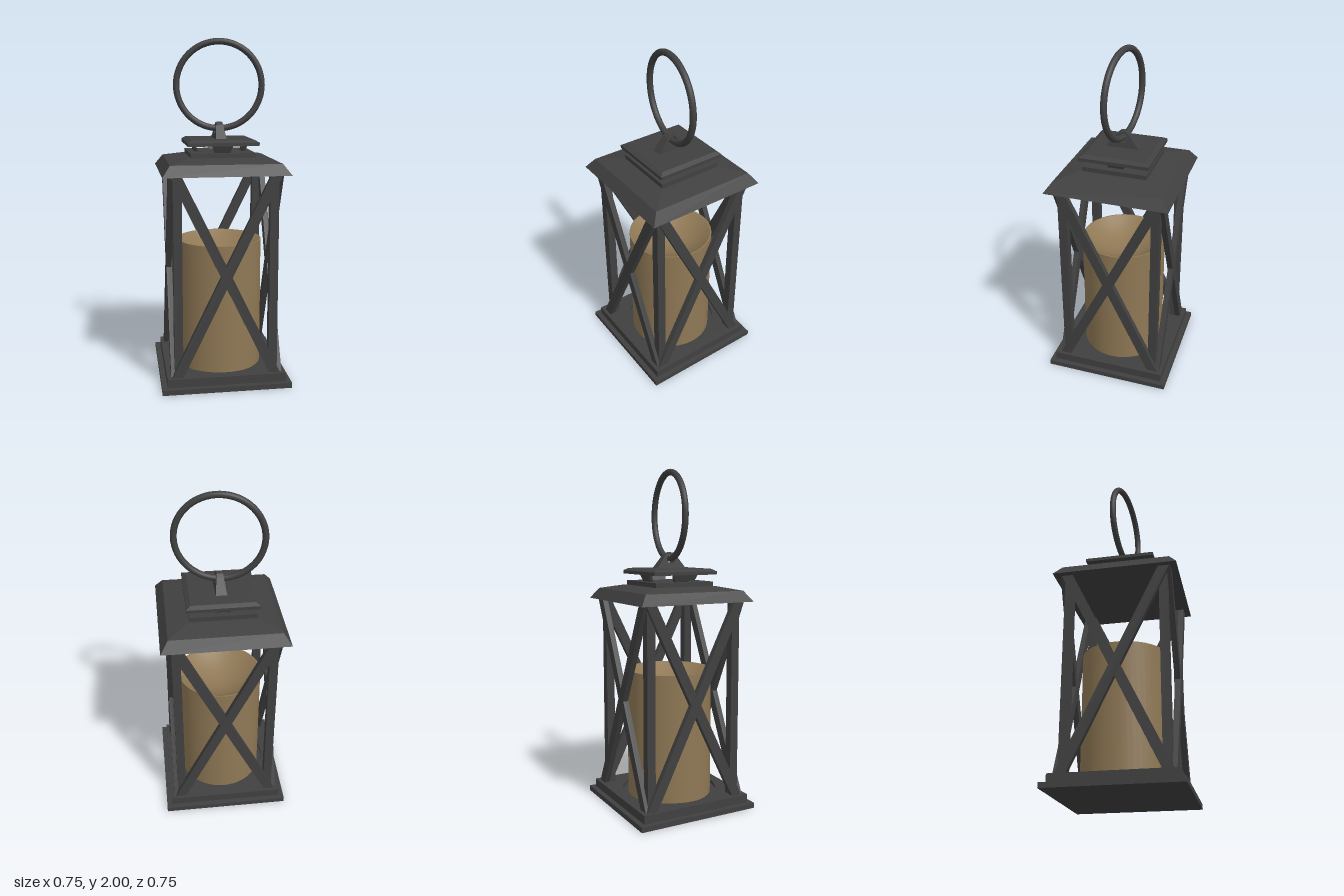
import * as THREE from 'three';

const metal = new THREE.MeshStandardMaterial({ color: 0x404040 });
const wax = new THREE.MeshStandardMaterial({ color: 0x8f7855 });

export function createModel() {
  const lantern = new THREE.Group();
  lantern.name = 'lantern';

  const add = (name, geometry, material = metal, parent = lantern) => {
    const mesh = new THREE.Mesh(geometry, material);
    mesh.name = name;
    parent.add(mesh);
    return mesh;
  };

  // Square slab: half width h0 at y0, h1 at y1
  const slab = (name, h0, y0, h1, y1) => {
    const g = new THREE.CylinderGeometry(h1 * Math.SQRT2, h0 * Math.SQRT2, y1 - y0, 4, 1)
      .rotateY(Math.PI / 4).translate(0, (y0 + y1) / 2, 0).toNonIndexed();
    g.computeVertexNormals();
    return add(name, g);
  };

  const polygon = (points) => new THREE.Shape(points.map(([x, y]) => new THREE.Vector2(x, y)));

  // Stepped base with a round recess for the candle
  slab('baseFoot', 0.376, 0, 0.376, 0.03);
  const step = polygon([[-0.345, -0.345], [0.345, -0.345], [0.345, 0.345], [-0.345, 0.345]]);
  step.holes.push(new THREE.Path().absarc(0, 0, 0.285, 0, Math.PI * 2, true));
  add('baseStep', new THREE.ExtrudeGeometry(step, { depth: 0.05, bevelEnabled: false, curveSegments: 24 })
    .rotateX(-Math.PI / 2).translate(0, 0.03, 0));
  add('baseRecessFloor', new THREE.CylinderGeometry(0.287, 0.287, 0.032, 48).translate(0, 0.046, 0));

  // Candle with a dished top
  const side = [[0, 0.06], [0.252, 0.06], [0.252, 0.06], [0.252, 0.825], [0.252, 0.825], [0.244, 0.825]];
  const dish = Array.from({ length: 9 }, (_, i) => {
    const r = 0.244 * (1 - i / 8);
    return [r, 0.725 + 0.1 * (r / 0.244) ** 2];
  });
  const lathe = (points) => new THREE.LatheGeometry(points.map(([r, y]) => new THREE.Vector2(r, y)), 48);
  const candle = new THREE.Group();
  candle.name = 'candle';
  lantern.add(candle);
  add('candleBody', lathe(side.slice(2, 4)), wax, candle);
  add('candleRim', lathe(side.slice(4)), wax, candle);
  add('candleDish', lathe(dish), wax, candle);
  add('candleBottom', lathe(side.slice(0, 2)), wax, candle);

  // Corner posts
  for (const x of [-1, 1]) for (const z of [-1, 1]) {
    add('cornerPost', new THREE.BoxGeometry(0.05, 1.17, 0.05)).position.set(x * 0.275, 0.66, z * 0.275);
  }

  // Crossed braces on each of the four sides
  const brace = (s) => new THREE.ExtrudeGeometry(polygon([
    [-s * 0.285 - 0.032, 0.075], [-s * 0.285 + 0.032, 0.075],
    [s * 0.285 + 0.032, 1.245], [s * 0.285 - 0.032, 1.245],
  ]), { depth: 0.033, bevelEnabled: false });
  for (let i = 0; i < 4; i++) {
    const cross = new THREE.Group();
    cross.name = 'sideCross';
    cross.rotation.y = i * Math.PI / 2;
    add('risingBrace', brace(1), metal, cross).position.z = 0.292;
    add('fallingBrace', brace(-1), metal, cross).position.z = 0.289;
    lantern.add(cross);
  }

  // Roof
  slab('roofEave', 0.36, 1.24, 0.315, 1.302);
  slab('roofSlope', 0.315, 1.302, 0.2, 1.326);
  slab('ventBase', 0.188, 1.32, 0.188, 1.352);

  // Leaning tapered tabs that carry the vent cap
  for (let i = 0; i < 4; i++) {
    const tab = new THREE.BoxGeometry(1, 0.06, 0.02);
    const p = tab.attributes.position;
    for (let k = 0; k < p.count; k++) {
      const top = p.getY(k) > 0;
      p.setX(k, p.getX(k) * (top ? 0.124 : 0.08));
      p.setZ(k, p.getZ(k) + (top ? 0.158 : 0.135));
    }
    tab.computeVertexNormals();
    const mesh = add('ventTab', tab);
    mesh.position.y = 1.37;
    mesh.rotation.y = i * Math.PI / 2;
  }
  slab('ventCapEdge', 0.204, 1.393, 0.204, 1.412);
  slab('ventCapTop', 0.204, 1.412, 0.18, 1.426);

  // Triangular hanger with an eye, thinner towards its top
  const eye = polygon([[-0.1, 1.42], [0.1, 1.42], [0.034, 1.505], [0.015, 1.52], [-0.015, 1.52], [-0.034, 1.505]]);
  eye.holes.push(new THREE.Path().absarc(0, 1.48, 0.026, 0, Math.PI * 2, true));
  const hanger = new THREE.ExtrudeGeometry(eye, { depth: 2, bevelEnabled: false, curveSegments: 12 })
    .translate(0, 0, -1).rotateY(Math.PI / 2);
  const hp = hanger.attributes.position;
  for (let k = 0; k < hp.count; k++) {
    hp.setX(k, hp.getX(k) * THREE.MathUtils.mapLinear(hp.getY(k), 1.42, 1.52, 0.033, 0.018));
  }
  hanger.computeVertexNormals();
  add('hanger', hanger);

  // Carrying ring, turned slightly
  const ring = add('carryingRing', new THREE.TorusGeometry(0.249, 0.0185, 14, 64));
  ring.position.y = 1.7325;
  ring.rotation.y = -0.13;

  return lantern;
}
